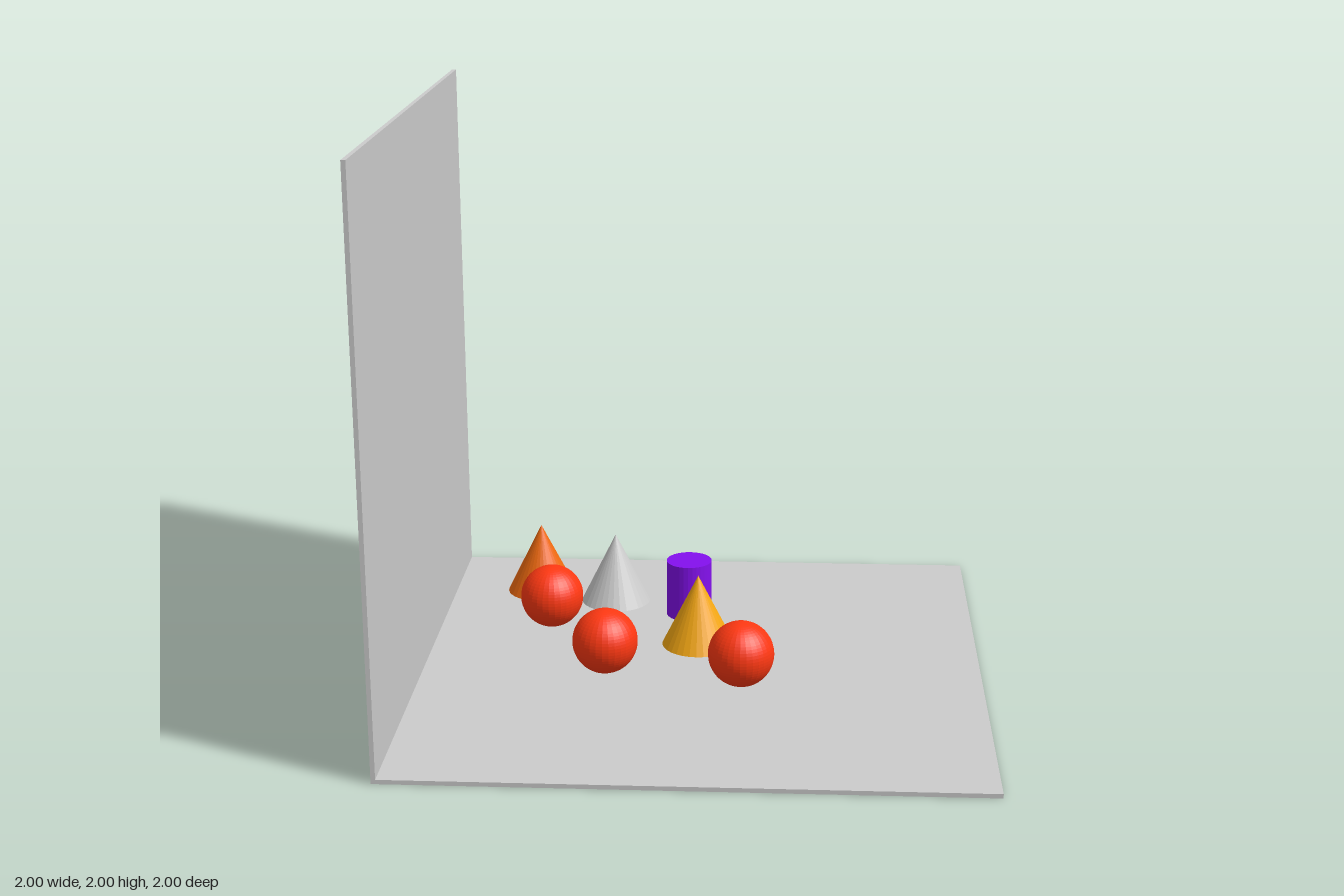
import * as THREE from 'three';

const T = 0.015; // panel thickness

export function createModel() {
  const model = new THREE.Group();

  const add = (name, geometry, color, x, y, z, flatShading = true) => {
    const material = new THREE.MeshStandardMaterial({ color, flatShading });
    const mesh = new THREE.Mesh(geometry, material);
    mesh.name = name;
    mesh.position.set(x, y, z);
    model.add(mesh);
  };

  // Floor and side wall
  add('floor', new THREE.BoxGeometry(2, T, 2), 0xcccccc, 0, T / 2, 0);
  add('wall', new THREE.BoxGeometry(T, 2, 2), 0xcccccc, -1 + T / 2, 1, 0);

  // Cones standing on the floor
  const coneHeight = 0.265;
  const cone = new THREE.ConeGeometry(0.132, coneHeight, 32);
  [
    ['orangeCone', 0xf06a10, -0.653, -0.665],
    ['greyCone', 0xcccccc, -0.355, -0.572],
    ['goldCone', 0xf5a814, -0.016, -0.153],
  ].forEach(([name, color, x, z]) => add(name, cone, color, x, T + coneHeight / 2, z));

  // Upright cylinder
  const cylinderHeight = 0.215;
  add('purpleCylinder', new THREE.CylinderGeometry(0.085, 0.085, cylinderHeight, 32),
    0x8410ee, -0.065, T + cylinderHeight / 2, -0.442);

  // Balls hovering just above the floor
  const ball = new THREE.SphereGeometry(0.115, 32, 32);
  [[-0.562, -0.233], [-0.327, 0.181], [0.154, 0.273]].forEach(([x, z], i) =>
    add(`redBall${i + 1}`, ball, 0xff3812, x, 0.16, z));

  return model;
}
